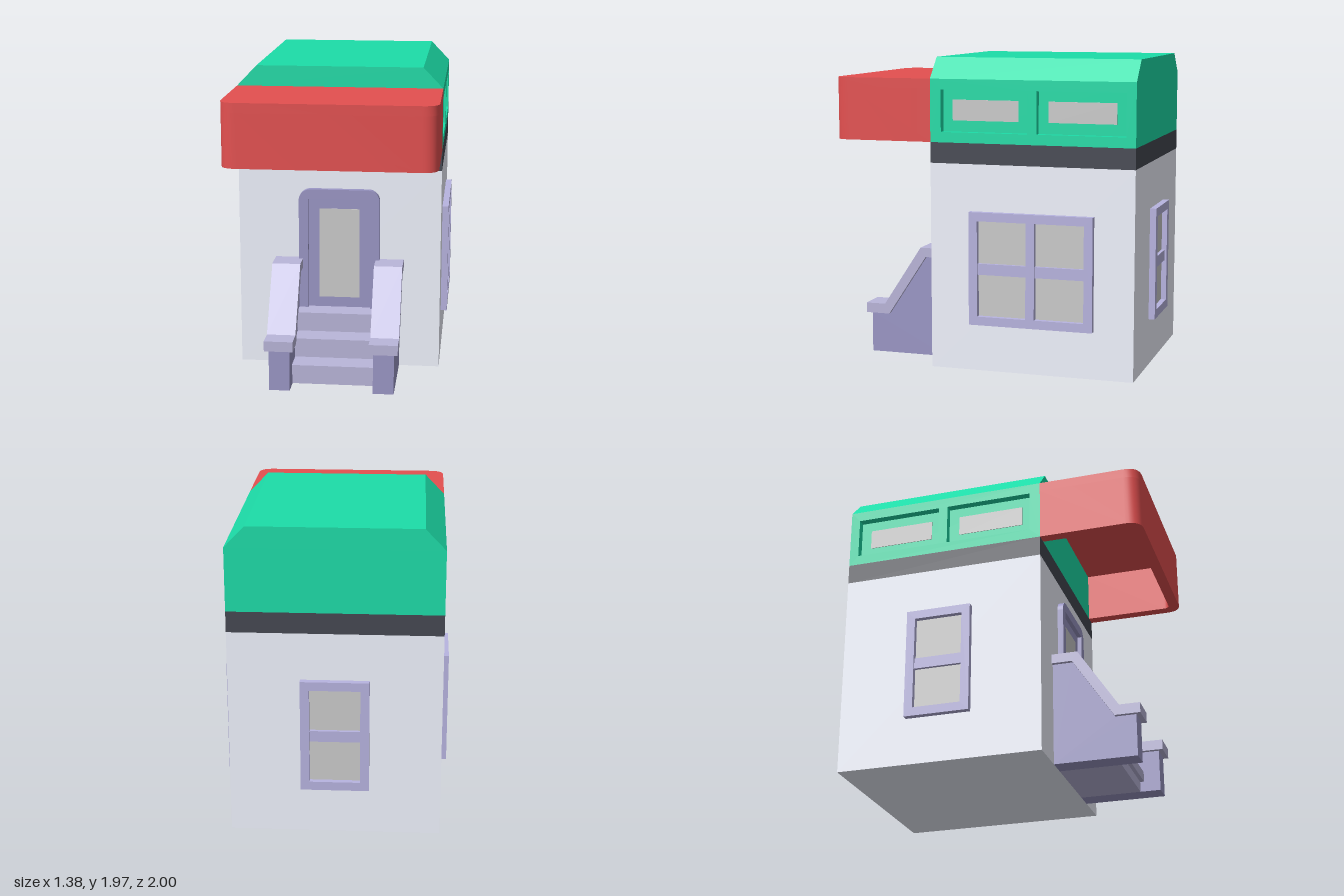
import * as THREE from 'three';
import { toCreasedNormals } from 'three/addons/utils/BufferGeometryUtils.js';

const mat = (color) => new THREE.MeshStandardMaterial({ color });
const M = {
  wall: mat(0xf1f4ff), band: mat(0x454852), green: mat(0x1cdda8), red: mat(0xe45050),
  trim: mat(0xb8b4e0), stone: mat(0x9b97c6), cap: mat(0xbab6da), glass: mat(0xcccccc),
};
const FRONT = 0.35, BACK = -0.96, HALF = 0.65;
const MIDZ = (FRONT + BACK) / 2, DEPTH = FRONT - BACK;

function mesh(name, geometry, material, parent) {
  const m = new THREE.Mesh(geometry, material);
  m.name = name;
  parent.add(m);
  return m;
}

// Box given by its extents on each axis
function box(name, [x0, x1], [y0, y1], [z0, z1], material, parent) {
  const m = mesh(name, new THREE.BoxGeometry(x1 - x0, y1 - y0, z1 - z0), material, parent);
  m.position.set((x0 + x1) / 2, (y0 + y1) / 2, (z0 + z1) / 2);
  return m;
}

const poly = (pts) => new THREE.Shape(pts.map(([x, y]) => new THREE.Vector2(x, y)));
const rect = (x0, x1, y0, y1) => poly([[x0, y0], [x1, y0], [x1, y1], [x0, y1]]);

function extrude(shape, depth) {
  const g = new THREE.ExtrudeGeometry(shape, { depth, bevelEnabled: false, curveSegments: 8 });
  return toCreasedNormals(g, 0.6);
}

// Profile drawn in (z, y), extruded across x and centred on x
function sideExtrude(shape, width, x) {
  return extrude(shape, width).translate(0, 0, -width / 2).rotateY(-Math.PI / 2).translate(x, 0, 0);
}

// Framed window lying on the plane z = 0 and facing +z, with one or more columns
function makeWindow(name, width, columns) {
  const g = new THREE.Group();
  g.name = name;
  const w = width / 2, border = 0.055, y0 = 0.3, y1 = 1.015;
  const pane = (width - border * (columns + 1)) / columns;
  const frame = rect(-w, w, y0, y1);
  for (let i = 0; i < columns; i++) {
    const x = -w + border + i * (pane + border);
    frame.holes.push(rect(x, x + pane, y0 + border, y1 - border));
    box('windowPane', [x, x + pane], [y0 + border, y1 - border], [-0.01, 0.006], M.glass, g);
    box('windowCrossbar', [x, x + pane], [0.62, 0.69], [0, 0.027], M.trim, g);
  }
  mesh('windowFrame', extrude(frame, 0.04), M.trim, g);
  return g;
}

// Roof: solid core, chamfered top, and side walls with recessed windows
function makeRoof() {
  const g = new THREE.Group();
  g.name = 'roof';
  const y0 = 1.44, y1 = 1.835, recess = 0.05, inner = HALF - recess;
  const profile = poly([[-inner, y0], [inner, y0], [inner, y1], [HALF, y1], [0.525, 1.965],
    [-0.525, 1.965], [-HALF, y1], [-inner, y1]]);
  mesh('roofCore', extrude(profile, DEPTH), M.green, g).position.z = BACK;
  const openings = [[-0.28, 0.28], [-0.9, -0.34]];
  for (const s of [-1, 1]) {
    const wall = rect(BACK, FRONT, y0, y1);
    for (const [z0, z1] of openings) {
      wall.holes.push(rect(z0, z1, 1.505, 1.77));
      const x = s * inner;
      box('roofPane', [x - 0.004, x + 0.004], [1.575, 1.705], [z0 + 0.068, z1 - 0.063], M.glass, g);
    }
    mesh('roofSideWall', sideExtrude(wall, recess, s * (HALF - recess / 2)), M.green, g);
  }
  return g;
}

// Awning: a rounded lid with a hollow skirt below
function makeAwning() {
  const g = new THREE.Group();
  g.name = 'awning';
  const top = 1.835, height = 0.395, t = 0.07, lid = 0.06;
  // U outline in (x, z), running round the two front corners
  const trace = (s, h, front, r, dir) => {
    s.lineTo(-dir * h, front - r);
    s.quadraticCurveTo(-dir * h, front, -dir * (h - r), front);
    s.lineTo(dir * (h - r), front);
    s.quadraticCurveTo(dir * h, front, dir * h, front - r);
    s.lineTo(dir * h, FRONT);
  };
  const full = new THREE.Shape().moveTo(-HALF, FRONT);
  trace(full, HALF, 1, 0.1, 1);
  const skirt = new THREE.Shape().moveTo(-HALF, FRONT);
  trace(skirt, HALF, 1, 0.1, 1);
  skirt.lineTo(HALF - t, FRONT);
  trace(skirt, HALF - t, 1 - t, 0.04, -1);
  mesh('awningLid', extrude(full, lid).rotateX(Math.PI / 2), M.red, g).position.y = top;
  mesh('awningSkirt', extrude(skirt, height - lid).rotateX(Math.PI / 2), M.red, g).position.y = top - lid;
  return g;
}

// Door: round-topped frame, recessed panel and glass
function makeDoor() {
  const g = new THREE.Group();
  g.name = 'door';
  const w = 0.26, y0 = 0.33, y1 = 1.18, r = 0.075;
  const frame = new THREE.Shape();
  frame.moveTo(-w, y0).lineTo(w, y0).lineTo(w, y1 - r);
  frame.absarc(w - r, y1 - r, r, 0, Math.PI / 2);
  frame.absarc(-w + r, y1 - r, r, Math.PI / 2, Math.PI);
  frame.lineTo(-w, y0);
  frame.holes.push(rect(-0.2, 0.2, 0.36, 1.117));
  mesh('doorFrame', extrude(frame, 0.037), M.stone, g).position.z = FRONT;
  box('doorPanel', [-0.2, 0.2], [0.36, 1.117], [FRONT - 0.01, FRONT + 0.01], M.stone, g);
  box('doorGlass', [-0.13, 0.13], [0.46, 1.05], [FRONT, FRONT + 0.014], M.glass, g);
  return g;
}

// Stairs: three steps between two capped side walls
function makeStairs() {
  const g = new THREE.Group();
  g.name = 'stairs';
  for (let i = 0; i < 3; i++) {
    const y = i * 0.131, z = 0.765 - i * 0.13;
    box('stepRiser', [-0.26, 0.26], [y, y + 0.066], [FRONT, z - 0.025], M.cap, g);
    box('stepTread', [-0.26, 0.26], [y + 0.066, y + 0.131], [FRONT, z], M.cap, g);
  }
  const wall = poly([[FRONT, 0], [0.87, 0], [0.87, 0.265], [0.74, 0.265], [0.48, 0.66], [FRONT, 0.66]]);
  const cap = poly([[FRONT, 0.66], [0.48, 0.66], [0.74, 0.265], [0.9, 0.265], [0.9, 0.33],
    [0.77, 0.33], [0.515, 0.72], [FRONT, 0.72]]);
  for (const s of [-1, 1]) {
    mesh('stairWall', sideExtrude(wall, 0.13, s * 0.325), M.stone, g);
    mesh('stairWallCap', sideExtrude(cap, 0.18, s * 0.325), M.cap, g);
  }
  return g;
}

export function createModel() {
  const model = new THREE.Group();
  model.name = 'smallHouse';
  box('houseBody', [-HALF, HALF], [0, 1.31], [BACK, FRONT], M.wall, model);
  box('darkBand', [-HALF, HALF], [1.31, 1.44], [BACK, FRONT], M.band, model);
  model.add(makeRoof(), makeAwning(), makeDoor(), makeStairs());

  const leftWindow = makeWindow('doubleWindow', 0.795, 2);
  leftWindow.position.set(HALF, 0, MIDZ - 0.005);
  leftWindow.rotation.y = Math.PI / 2;
  const rightWindow = makeWindow('sideWindow', 0.42, 1);
  rightWindow.position.set(-HALF, 0, MIDZ - 0.005);
  rightWindow.rotation.y = -Math.PI / 2;
  const backWindow = makeWindow('backWindow', 0.42, 1);
  backWindow.position.set(0, 0, BACK);
  backWindow.rotation.y = Math.PI;
  model.add(leftWindow, rightWindow, backWindow);
  return model;
}
